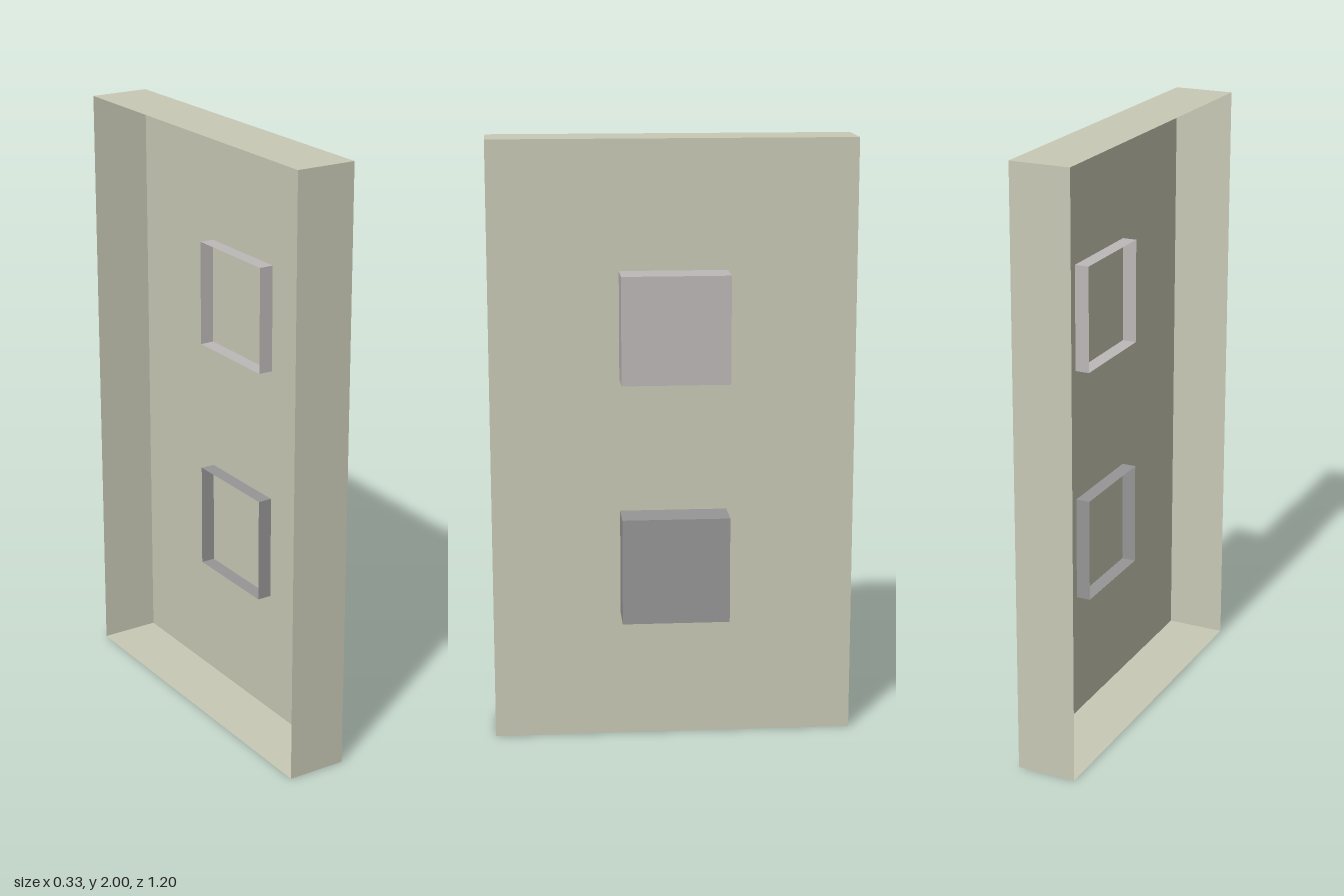
import * as THREE from 'three';

// Thin-walled box spanning x0..x1, left open on its -x side
function openBox(name, x0, x1, height, depth, y, color) {
  const geometry = new THREE.BoxGeometry(x1 - x0, height, depth);
  const index = Array.from(geometry.index.array);
  index.splice(6, 6); // drop the two triangles of the -x face
  geometry.setIndex(index);
  geometry.clearGroups();
  const material = new THREE.MeshStandardMaterial({ color, side: THREE.DoubleSide });
  const mesh = new THREE.Mesh(geometry, material);
  mesh.name = name;
  mesh.position.set((x0 + x1) / 2, y, 0);
  return mesh;
}

export function createModel() {
  const group = new THREE.Group();
  group.name = 'buttonPanel';

  // Hollow wall plate
  group.add(openBox('plate', -0.164, 0.036, 2, 1.2, 1, 0xc9c9b6));

  // Hollow buttons pushed through the plate, their rims showing behind it
  group.add(openBox('upperButton', -0.012, 0.163, 0.353, 0.353, 1.4, 0xbdb8b8));
  group.add(openBox('lowerButton', -0.012, 0.163, 0.353, 0.353, 0.602, 0x969696));

  return group;
}
